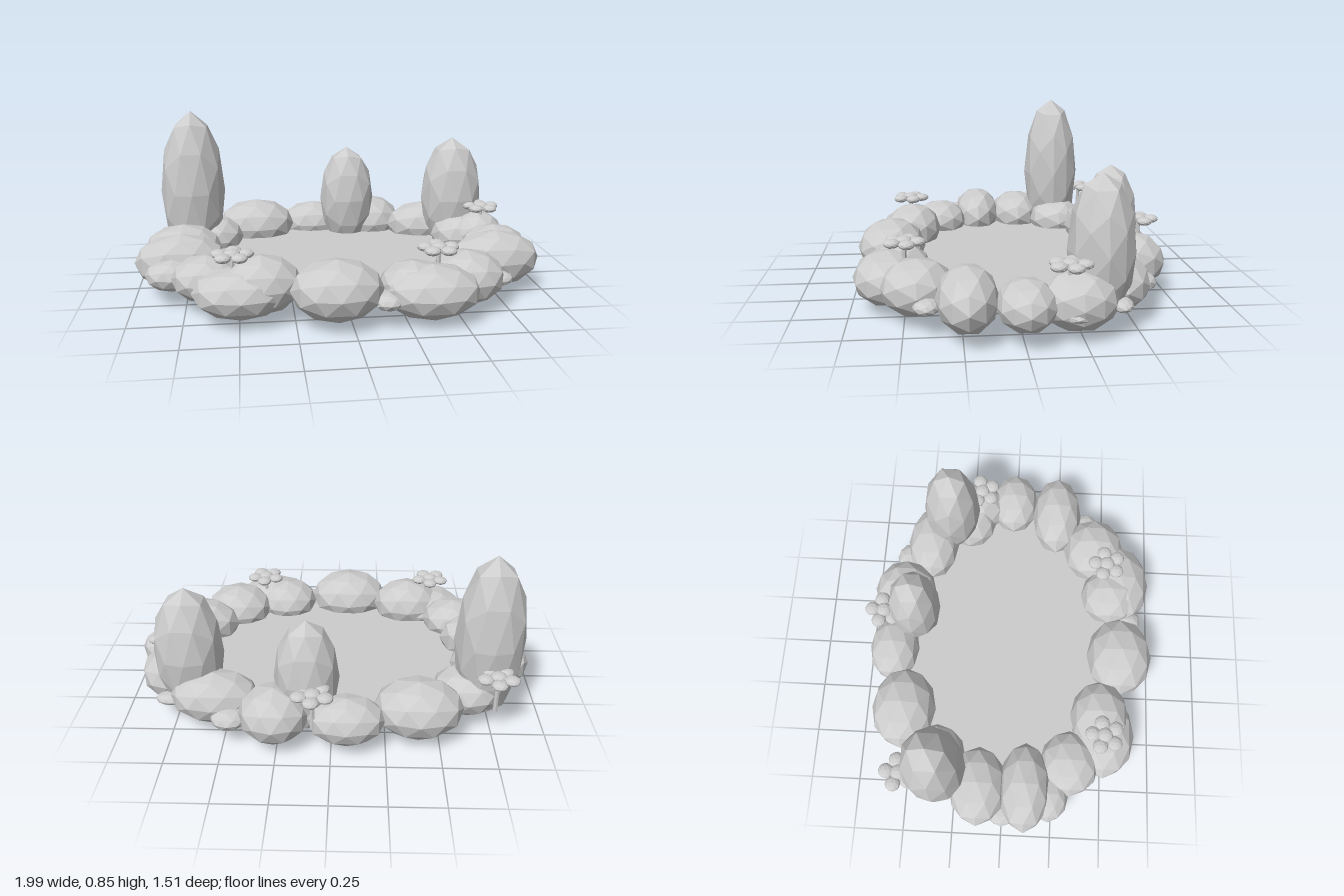
import * as THREE from 'three';

export function createModel() {
  const model = new THREE.Group();
  const stone = new THREE.MeshStandardMaterial({ color: 0xcccccc, flatShading: true });
  // Same grey, seen from both sides on the thin sheets
  const water = new THREE.MeshStandardMaterial({ color: 0xcccccc, side: THREE.DoubleSide });

  // One faceted ball is stretched into every boulder, pillar and leaf
  const ball = new THREE.IcosahedronGeometry(1, 1).rotateY(Math.PI / 2);
  function blob(name, x, y, z, rx, ry, rz, parent = model) {
    const mesh = new THREE.Mesh(ball, stone);
    mesh.name = name;
    mesh.position.set(x, y, z);
    mesh.scale.set(rx, ry, rz);
    parent.add(mesh);
  }

  // Pond surface with two floating pads
  function disc(name, x, y, z, rx, rz, sides) {
    const mesh = new THREE.Mesh(new THREE.CircleGeometry(1, sides).rotateX(-Math.PI / 2), water);
    mesh.name = name;
    mesh.position.set(x, y, z);
    mesh.scale.set(rx, 1, rz);
    model.add(mesh);
  }
  disc('pondSurface', 0, 0.124, 0, 0.8, 0.59, 48);
  disc('floatingPad', -0.25, 0.128, -0.1, 0.135, 0.095, 12);
  disc('floatingPad', 0.3, 0.128, -0.155, 0.135, 0.095, 12);

  // Ring of boulders: x, z, rx, rz, bottom, top
  [
    [-0.40, -0.53, 0.21, 0.165, 0.03, 0.31],
    [-0.07, -0.61, 0.18, 0.13, 0.04, 0.27],
    [0.26, -0.58, 0.165, 0.165, 0.03, 0.3],
    [0.55, -0.45, 0.21, 0.14, 0.04, 0.29],
    [0.70, -0.25, 0.15, 0.14, 0.04, 0.27],
    [0.79, -0.23, 0.15, 0.17, 0.03, 0.29],
    [0.822, -0.01, 0.172, 0.13, 0.05, 0.27],
    [0.75, 0.23, 0.225, 0.135, 0.03, 0.31],
    [0.55, 0.44, 0.18, 0.165, 0.03, 0.285],
    [0.28, 0.53, 0.16, 0.155, 0.04, 0.275],
    [0.355, 0.575, 0.225, 0.165, 0.02, 0.27],
    [-0.07, 0.58, 0.21, 0.17, 0.03, 0.31],
    [-0.40, 0.48, 0.185, 0.15, 0.04, 0.31],
    [-0.49, 0.50, 0.22, 0.16, 0.03, 0.265],
    [-0.645, 0.33, 0.165, 0.15, 0.05, 0.27],
    [-0.777, 0.11, 0.223, 0.13, 0.03, 0.31],
    [-0.78, -0.125, 0.197, 0.145, 0.04, 0.29],
    [-0.64, -0.35, 0.165, 0.155, 0.04, 0.27],
    [-0.81, 0.23, 0.13, 0.1, 0.07, 0.22],
  ].forEach(([x, z, rx, rz, y0, y1]) =>
    blob('boulder', x, (y0 + y1) / 2, z, rx, (y1 - y0) / 2, rz));

  // Flat pebbles between the boulders: x, z, rx, rz, half height
  [
    [0.15, 0.625, 0.07, 0.075, 0.04],
    [0.715, 0.4, 0.075, 0.06, 0.035],
    [0.865, -0.21, 0.075, 0.065, 0.03],
    [0.76, -0.42, 0.08, 0.05, 0.03],
    [-0.88, 0.0, 0.09, 0.08, 0.04],
    [0.47, -0.56, 0.09, 0.09, 0.05],
  ].forEach(([x, z, rx, rz, ry]) => blob('pebble', x, 0.125, z, rx, ry, rz));

  // Tall standing stones: x, z, rx, rz, bottom, top
  [
    [-0.733, -0.33, 0.167, 0.155, 0, 0.845],
    [0.113, -0.505, 0.15, 0.135, 0.03, 0.605],
    [0.677, -0.345, 0.167, 0.15, 0.015, 0.675],
  ].forEach(([x, z, rx, rz, y0, y1]) =>
    blob('standingStone', x, (y0 + y1) / 2, z, rx, (y1 - y0) / 2, rz));

  // Small plants: a thin stalk carrying a flat cluster of leaves
  const stalkGeometry = new THREE.CylinderGeometry(0.01, 0.012, 0.18, 6);
  [[-0.755, -0.505], [0.08, -0.66], [0.805, -0.19], [0.4, 0.5], [-0.525, 0.495]].forEach(([x, z]) => {
    const plant = new THREE.Group();
    plant.name = 'plant';
    plant.position.set(x, 0, z);
    const stalk = new THREE.Mesh(stalkGeometry, stone);
    stalk.name = 'stalk';
    stalk.position.y = 0.23;
    plant.add(stalk);
    blob('centreLeaf', 0, 0.326, 0, 0.038, 0.021, 0.038, plant);
    for (let i = 0; i < 5; i++) {
      const a = (-86 + 72 * i) * Math.PI / 180;
      blob('leaf', 0.062 * Math.cos(a), 0.32, 0.062 * Math.sin(a), 0.038, 0.021, 0.038, plant);
    }
    model.add(plant);
  });

  return model;
}
